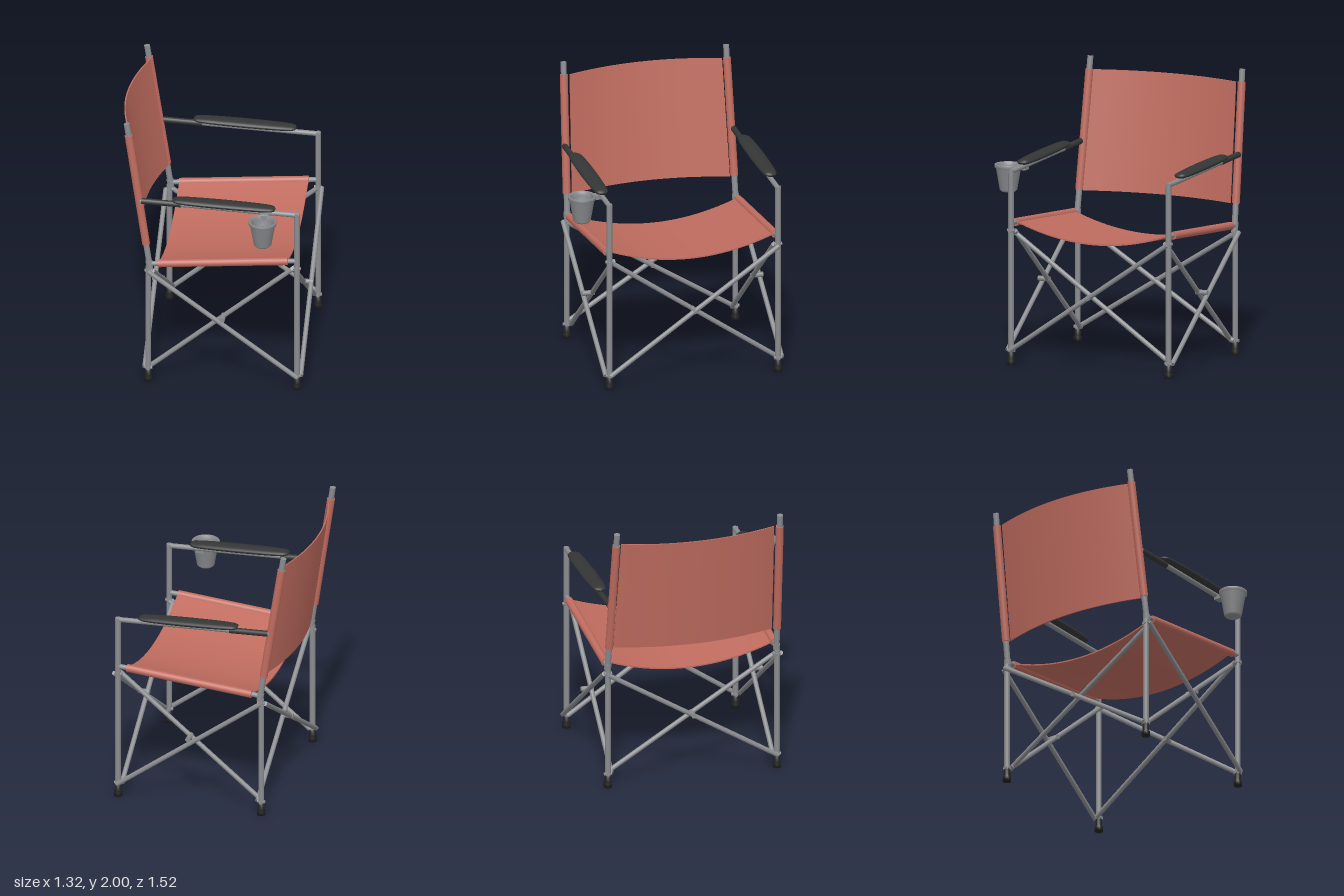
import * as THREE from 'three';

const metal = new THREE.MeshStandardMaterial({ name: 'grey metal', color: 0x8a8c8f });
const fabric = new THREE.MeshStandardMaterial({ name: 'terracotta fabric', color: 0xc06c5f });
const foam = new THREE.MeshStandardMaterial({ name: 'dark foam', color: 0x343635 });
const rubber = new THREE.MeshStandardMaterial({ name: 'black rubber', color: 0x222222 });

const ZC = -0.087;          // middle of the seat across z
const HW = 0.614;           // from the middle to a leg
const FRONT = 0.616, REAR = -0.43;

function add(parent, name, geometry, material) {
  const mesh = new THREE.Mesh(geometry, material);
  mesh.name = name;
  parent.add(mesh);
  return mesh;
}

// Round bar between two points
function bar(parent, name, a, b, radius, material = metal) {
  const p = new THREE.Vector3(...a), q = new THREE.Vector3(...b);
  const dir = q.clone().sub(p);
  const mesh = add(parent, name, new THREE.CylinderGeometry(radius, radius, dir.length(), 16), material);
  mesh.position.copy(p).add(q).multiplyScalar(0.5);
  mesh.quaternion.setFromUnitVectors(new THREE.Vector3(0, 1, 0), dir.normalize());
  return mesh;
}

function lathe(points, segments = 24) {
  return new THREE.LatheGeometry(points.map(([r, y]) => new THREE.Vector2(r, y)), segments);
}

// Move every vertex of a thin slab by a rule
function bend(geometry, rule) {
  const pos = geometry.attributes.position, v = new THREE.Vector3();
  for (let i = 0; i < pos.count; i++) {
    rule(v.fromBufferAttribute(pos, i));
    pos.setXYZ(i, v.x, v.y, v.z);
  }
  geometry.computeVertexNormals();
  return geometry;
}

const seatY = x => 0.954 + 0.082 * x;           // seat rail height
const armY = x => 1.391 - 0.041 * x;            // arm rail height

// Back post line, leaning back and slightly inward
function postPoint(y, s) {
  const t = (y - 0.9) / 1.1;
  return [-0.42 - 0.165 * t, y, ZC + s * (HW - 0.022 * t)];
}

function buildSide(s) {
  const side = new THREE.Group();
  side.name = s > 0 ? 'leftSide' : 'rightSide';
  const z = ZC + s * HW;

  // Legs and feet
  bar(side, 'frontLeg', [FRONT, 0.06, z], [FRONT, 1.38, z], 0.02);
  bar(side, 'rearLeg', [REAR, 0.06, z], [REAR, 0.9, z], 0.02);
  for (const x of [FRONT, REAR]) {
    const foot = add(side, 'foot', lathe([[0, 0], [0.03, 0], [0.03, 0.03], [0.023, 0.042], [0.023, 0.09], [0, 0.09]], 16), rubber);
    foot.position.set(x, 0, z);
  }

  // Crossed side braces with their pivot
  const outer = z + s * 0.028, inner = z - s * 0.028;
  bar(side, 'sideBraceOuter', [REAR, 0.87, outer], [FRONT, 0.1, outer], 0.017);
  bar(side, 'sideBraceInner', [REAR + 0.01, 0.1, inner], [FRONT - 0.005, 0.95, inner], 0.017);
  bar(side, 'sidePivot', [0.095, 0.525, z - s * 0.045], [0.095, 0.525, z + s * 0.045], 0.018);
  for (const [x, y] of [[REAR, 0.87], [FRONT, 0.1], [REAR, 0.1], [FRONT, 0.95]])
    bar(side, 'bracePin', [x, y, inner], [x, y, outer], 0.012);

  // Seat rail and its fabric sleeve
  bar(side, 'seatRail', [-0.43, seatY(-0.43), z], [FRONT, seatY(FRONT), z], 0.018);
  bar(side, 'seatSleeve', [-0.36, seatY(-0.36), z], [0.55, seatY(0.55), z], 0.028, fabric);

  // Back post, hinge and fabric sleeve
  bar(side, 'backPost', postPoint(0.88, s), postPoint(2, s), 0.021);
  bar(side, 'backHinge', postPoint(0.9, s), postPoint(0.94, s), 0.025);
  bar(side, 'backSleeve', postPoint(1.07, s), postPoint(1.91, s), 0.028, fabric);

  // Arm rail, foam grip and pad
  bar(side, 'armRail', [-0.49, armY(-0.49), z], [FRONT + 0.015, armY(FRONT), z], 0.018);
  bar(side, 'armGrip', [-0.48, armY(-0.48), z], [-0.2, armY(-0.2), z], 0.021, foam);
  const half = [[0.058, 0], [0.056, 0.15], [0.052, 0.26], [0.045, 0.33], [0.03, 0.355], [0, 0.363]];
  const profile = [...half.slice(1).reverse().map(([r, y]) => [r, -y]), ...half];
  const padGeometry = lathe(profile).scale(0.44, 1, 1).rotateZ(-Math.PI / 2 - 0.04);
  add(side, 'armPad', padGeometry, foam).position.set(0.102, 1.418, z);
  return side;
}

// Crossed braces between the two sides
function buildCrossBraces(parent, name, x, top) {
  const group = new THREE.Group();
  group.name = name;
  const xOut = x + Math.sign(x) * 0.026, xIn = x - Math.sign(x) * 0.028;
  const a = ZC - HW, b = ZC + HW;
  bar(group, 'outerBrace', [xOut, top, a], [xOut, 0.1, b], 0.017);
  bar(group, 'innerBrace', [xIn, top, b], [xIn, 0.1, a], 0.017);
  const mid = (top + 0.1) / 2;
  bar(group, 'pivot', [x - 0.045, mid, ZC], [x + 0.04, mid, ZC], 0.018);
  for (const z of [a, b])
    for (const y of [0.1, top]) bar(group, 'bracePin', [xIn, y, z], [xOut, y, z], 0.012);
  parent.add(group);
}

export function createModel() {
  const chair = new THREE.Group();
  chair.name = 'foldingChair';
  for (const s of [-1, 1]) chair.add(buildSide(s));
  buildCrossBraces(chair, 'frontCrossBraces', FRONT, 0.945);
  buildCrossBraces(chair, 'rearCrossBraces', REAR, 0.865);

  // Sagging seat cloth
  const seat = bend(new THREE.BoxGeometry(0.91, 0.01, 2, 4, 1, 28), v => {
    v.x += 0.095;
    v.y += seatY(v.x) + 0.005 - 0.118 * (1 - v.z * v.z);
    v.z = ZC + v.z * 0.605;
  });
  add(chair, 'seatCloth', seat, fabric);

  // Back cloth bowed to the rear
  const back = bend(new THREE.BoxGeometry(0.01, 0.84, 2, 1, 4, 28), v => {
    const t = v.y / 0.84 + 0.5;
    v.x += -0.436 - 0.124 * t - 0.097 * (1 - v.z * v.z);
    v.y += 1.49;
    v.z = ZC + v.z * (0.575 - 0.02 * t);
  });
  add(chair, 'backCloth', back, fabric);

  // Cup holder hung from the left arm
  const cup = new THREE.Group();
  cup.name = 'cupHolder';
  add(cup, 'cup', lathe([[0, 0], [0.05, 0], [0.062, 0.014], [0.088, 0.165], [0.099, 0.172], [0.099, 0.192],
    [0.092, 0.197], [0.08, 0.192], [0.076, 0.165], [0.054, 0.02], [0, 0.02]], 32), metal);
  add(cup, 'bracket', new THREE.BoxGeometry(0.06, 0.03, 0.07), metal).position.set(0, 0.178, -0.11);
  cup.position.set(0.39, 1.181, 0.66);
  chair.add(cup);

  return chair;
}
